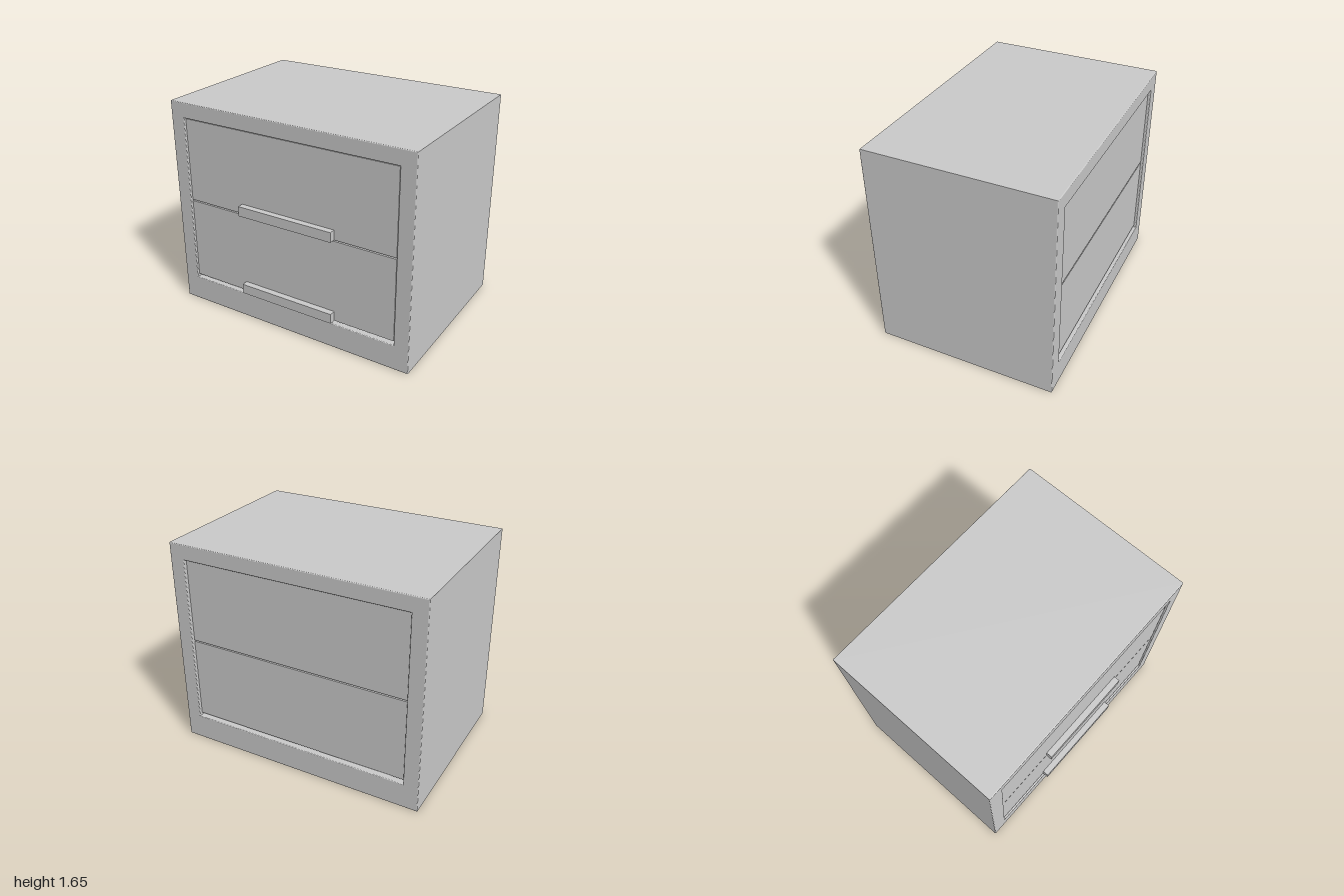
import * as THREE from 'three';

const material = new THREE.MeshStandardMaterial({ color: 0xcccccc });

// Corner points of a rectangle
const rectangle = (x0, y0, x1, y1) => [[x0, y0], [x1, y0], [x1, y1], [x0, y1]]
  .map(([x, y]) => new THREE.Vector2(x, y));

// Box given by its minimum and maximum corners
function box(name, [x0, y0, z0], [x1, y1, z1]) {
  const mesh = new THREE.Mesh(new THREE.BoxGeometry(x1 - x0, y1 - y0, z1 - z0), material);
  mesh.name = name;
  mesh.position.set((x0 + x1) / 2, (y0 + y1) / 2, (z0 + z1) / 2);
  return mesh;
}

export function createModel() {
  const model = new THREE.Group();
  model.name = 'nightstand';

  // Cabinet: a finely bevelled shell, open at front and back
  const back = -0.723, front = 0.687, bevel = 0.006;
  const outline = new THREE.Shape(rectangle(-1, 0, 1, 1.65));
  outline.holes.push(new THREE.Path(rectangle(-0.883, 0.2, 0.883, 1.533)));
  const shell = new THREE.ExtrudeGeometry(outline, {
    depth: front - back - 2 * bevel,
    bevelThickness: bevel,
    bevelSize: bevel,
    bevelOffset: -bevel,
    bevelSegments: 3,
  });
  shell.translate(0, 0, back + bevel);
  const cabinet = new THREE.Mesh(shell, material);
  cabinet.name = 'cabinet';
  model.add(cabinet);

  // Two stacked drawers, each with a bar handle along its lower edge
  for (const [name, y0, y1] of [['lowerDrawer', 0.225, 0.87], ['upperDrawer', 0.88, 1.527]]) {
    const drawer = new THREE.Group();
    drawer.name = name;
    drawer.add(
      box('drawerBody', [-0.877, y0, -0.703], [0.877, y1, 0.675]),
      box('handle', [-0.395, y0, 0.67], [0.395, y0 + 0.077, 0.723]),
    );
    model.add(drawer);
  }
  return model;
}
